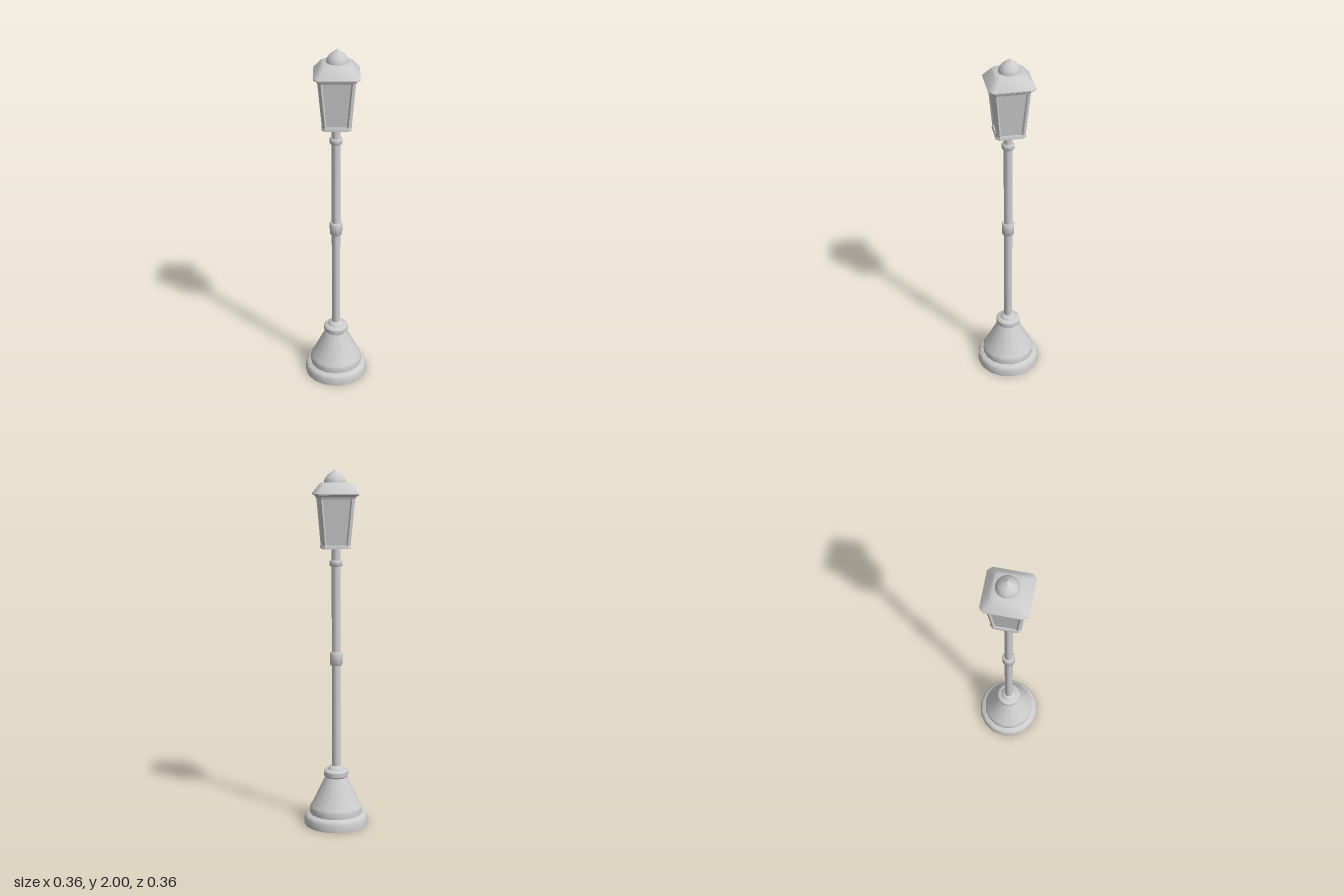
import * as THREE from 'three';
import { toCreasedNormals } from 'three/addons/utils/BufferGeometryUtils.js';

const material = new THREE.MeshStandardMaterial({ color: 0xcccccc, side: THREE.DoubleSide });

function addMesh(parent, name, geometry, crease = 0.7) {
  const mesh = new THREE.Mesh(toCreasedNormals(geometry, crease), material);
  mesh.name = name;
  parent.add(mesh);
  return mesh;
}

// Turned part from [radius, height] pairs, bottom to top
function turned(profile, sides = 16) {
  return new THREE.LatheGeometry(profile.map(([r, y]) => new THREE.Vector2(r, y)), sides);
}

// Diamond-shaped loft with cut corners from [cornerRadius, cutHalfWidth, height] rings
function diamondLoft(rings) {
  const positions = [], indices = [];
  for (const [radius, cut, y] of rings) {
    for (let k = 0; k < 4; k++) {
      const s = Math.sin(k * Math.PI / 2), c = Math.cos(k * Math.PI / 2);
      for (const side of [-cut, cut]) positions.push(s * radius + c * side, y, c * radius - s * side);
    }
  }
  for (let j = 0; j < rings.length - 1; j++) {
    for (let i = 0; i < 8; i++) {
      const a = j * 8 + i, b = j * 8 + (i + 1) % 8;
      indices.push(a, b, a + 8, b, b + 8, a + 8);
    }
  }
  const geometry = new THREE.BufferGeometry();
  geometry.setAttribute('position', new THREE.Float32BufferAttribute(positions, 3));
  geometry.setIndex(indices);
  return geometry;
}

// Corner post leaning outward along +z
function postGeometry(bottomY, topY, bottomR, topR) {
  const height = topY - bottomY;
  const geometry = new THREE.BoxGeometry(0.024, height, 0.014);
  const p = geometry.attributes.position;
  for (let i = 0; i < p.count; i++) {
    const t = p.getY(i) / height + 0.5;
    p.setZ(i, p.getZ(i) - 0.007 + bottomR + (topR - bottomR) * t);
    p.setY(i, bottomY + height * t);
  }
  return geometry;
}

export function createModel() {
  const model = new THREE.Group();
  model.name = 'streetLamp';

  // Hollow stepped foot
  addMesh(model, 'base', turned([
    [0.182, 0], [0.182, 0.04], [0.174, 0.055], [0.15, 0.065], [0.15, 0.102],
    [0.142, 0.112], [0.062, 0.275], [0.07, 0.283], [0.07, 0.308],
    [0.062, 0.317], [0.047, 0.32], [0.038, 0.335], [0.022, 0.342],
  ]));

  // Pole and its collars
  addMesh(model, 'pole', turned([[0.024, 0.32], [0.024, 1.58]]));
  for (const [name, low, high] of [['middleCollar', 0.92, 0.995], ['upperCollar', 1.473, 1.507]]) {
    addMesh(model, name, turned([
      [0.024, low], [0.031, low], [0.035, low + 0.006], [0.035, high - 0.006], [0.031, high], [0.024, high],
    ]));
  }

  const lantern = new THREE.Group();
  lantern.name = 'lantern';
  lantern.position.z = -0.005;
  model.add(lantern);

  addMesh(lantern, 'lanternFloor', diamondLoft([
    [0, 0, 1.573], [0.102, 0.012, 1.573], [0.102, 0.012, 1.58], [0.097, 0.012, 1.592], [0, 0, 1.592],
  ]), 0.4);
  addMesh(lantern, 'glass', diamondLoft([[0.092, 0.006, 1.585], [0.125, 0.006, 1.855]]), 0.4);

  // Corner posts
  const post = postGeometry(1.585, 1.85, 0.098, 0.13);
  for (let k = 0; k < 4; k++) addMesh(lantern, 'cornerPost', post, 0.4).rotation.y = k * Math.PI / 2;

  // Hipped roof with a soft upper edge
  addMesh(lantern, 'roof', diamondLoft([
    [0, 0, 1.84], [0.13, 0.014, 1.84], [0.136, 0.015, 1.853], [0.156, 0.016, 1.862], [0.157, 0.016, 1.868],
    [0.102, 0.013, 1.921], [0.088, 0.011, 1.928], [0, 0, 1.93],
  ]), 0.6);

  // Domed finial
  addMesh(lantern, 'finial', turned([
    [0.06, 1.922], [0.06, 1.932], [0.054, 1.949], [0.043, 1.965], [0.027, 1.978], [0.013, 1.988], [0, 2],
  ])).position.z = -0.005;

  return model;
}
